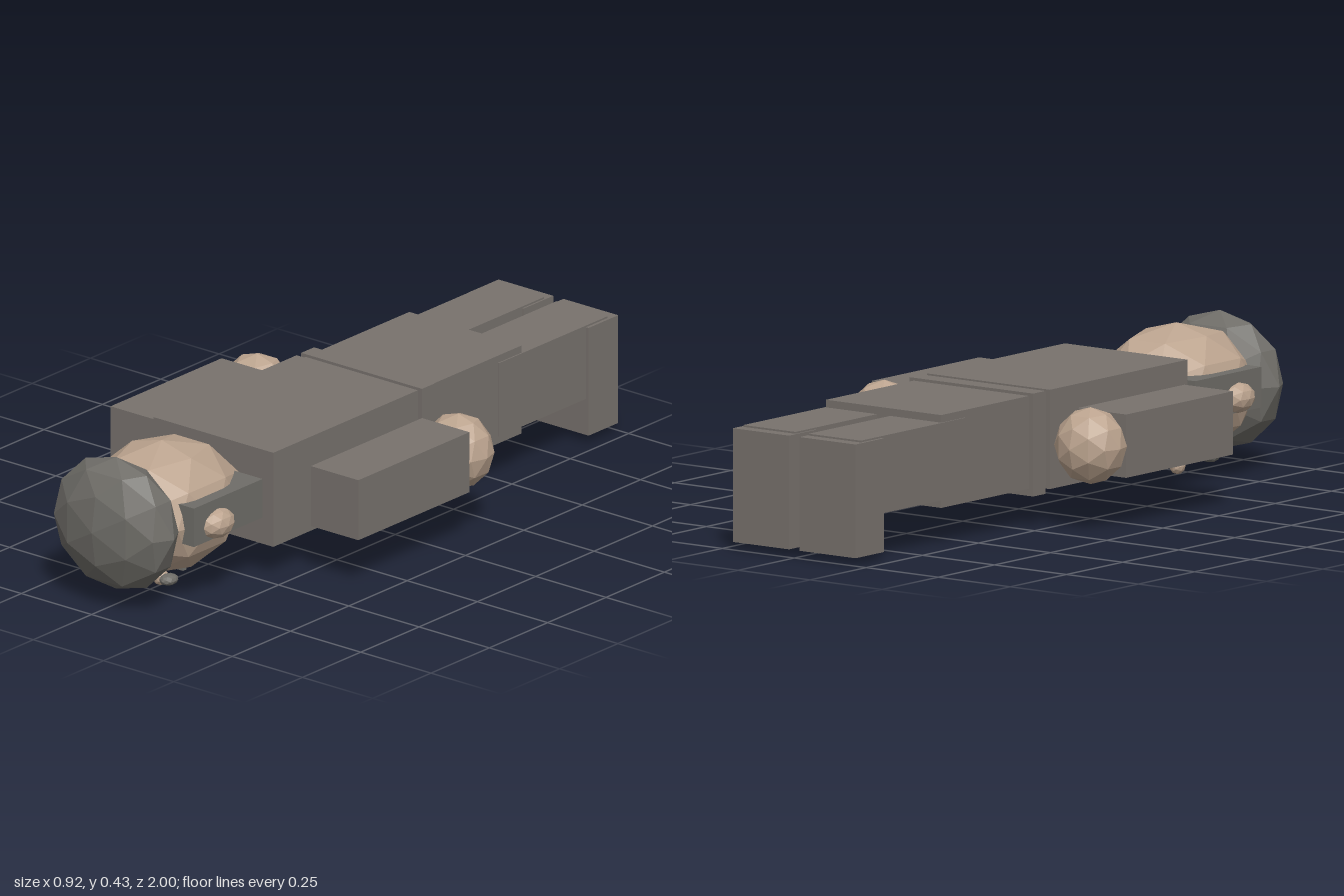
import * as THREE from 'three';

export function createModel() {
  const root = new THREE.Group();
  root.name = 'lyingFigure';

  const mat = (name, color) => {
    const m = new THREE.MeshStandardMaterial({ color, flatShading: true });
    m.name = name;
    return m;
  };
  const cloth = mat('warmGreyCloth', 0x78726d);
  const skin = mat('skin', 0xbca48f);
  const hair = mat('greyHair', 0x6f6d68);

  const add = (name, geometry, material) => {
    const mesh = new THREE.Mesh(geometry, material);
    mesh.name = name;
    root.add(mesh);
    return mesh;
  };
  // Box from its minimum and maximum corners
  const box = (name, material, [x0, y0, z0], [x1, y1, z1]) => {
    const g = new THREE.BoxGeometry(x1 - x0, y1 - y0, z1 - z0);
    g.translate((x0 + x1) / 2, (y0 + y1) / 2, (z0 + z1) / 2);
    return add(name, g, material);
  };
  // Faceted ball from its centre and three radii
  const ball = (name, material, centre, radii) => {
    const g = new THREE.IcosahedronGeometry(1, 1);
    g.scale(...radii);
    g.translate(...centre);
    g.computeVertexNormals();
    return add(name, g, material);
  };

  // Body, lying face down with the head towards +z
  box('torso', cloth, [-0.213, 0.098, -0.135], [0.213, 0.374, 0.478]);
  box('belt', cloth, [-0.215, 0.088, -0.212], [0.215, 0.374, -0.157]);
  box('hips', cloth, [-0.2, 0.108, -0.602], [0.2, 0.366, -0.12]);

  // Head
  ball('head', skin, [0, 0.238, 0.7], [0.2, 0.187, 0.258]);
  ball('hairCap', hair, [0, 0.24, 0.895], [0.207, 0.193, 0.105]);
  ball('nose', skin, [0, 0.026, 0.705], [0.023, 0.024, 0.023]);
  box('mouth', hair, [-0.037, 0.036, 0.639], [0.037, 0.048, 0.653]);

  // Mirrored pairs
  for (const [side, s] of [['left', 1], ['right', -1]]) {
    const pair = (name, material, a, b) => {
      const x0 = Math.min(s * a[0], s * b[0]);
      const x1 = Math.max(s * a[0], s * b[0]);
      box(side + name, material, [x0, a[1], a[2]], [x1, b[1], b[2]]);
    };
    pair('Sideburn', hair, [0.08, 0.195, 0.518], [0.208, 0.308, 0.812]);
    ball(side + 'Ear', skin, [s * 0.205, 0.236, 0.71], [0.042, 0.043, 0.06]);
    ball(side + 'Eye', hair, [s * 0.074, 0.052, 0.758], [0.024, 0.016, 0.03]);
    pair('Arm', cloth, [0.272, 0.147, -0.088], [0.441, 0.323, 0.388]);
    ball(side + 'Hand', skin, [s * 0.358, 0.235, -0.14], [0.103, 0.107, 0.095]);
    pair('Leg', cloth, [0.023, 0.13, -0.965], [0.204, 0.345, -0.5]);
    pair('Foot', cloth, [0.018, 0.024, -1], [0.213, 0.34, -0.873]);
  }

  return root;
}
